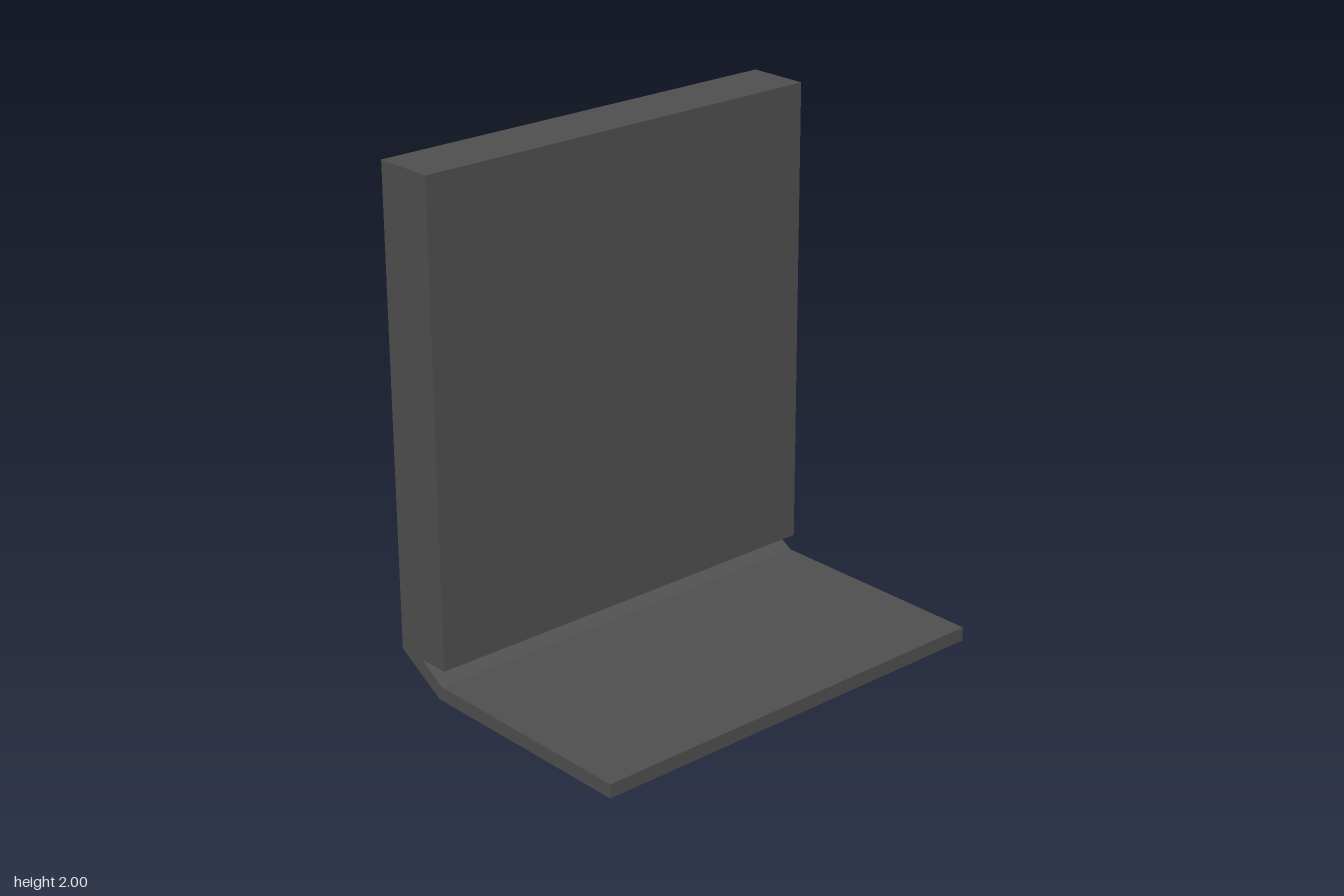
import * as THREE from 'three';

const W = 1.764, TOP = 2, SILL = 0.125;      // overall width, top and bottom of the panel
const BACK = -0.587, FRONT = -0.337;         // panel faces
const RECESS = 0.06, RIM = 0.052, MULLION = 0.11;

const rect = (Type, x0, y0, x1, y1) => new Type([
  new THREE.Vector2(x0, y0), new THREE.Vector2(x1, y0),
  new THREE.Vector2(x1, y1), new THREE.Vector2(x0, y1),
]);

export function createModel() {
  const group = new THREE.Group();
  const darkGrey = new THREE.MeshStandardMaterial({ color: 0x505050 });
  darkGrey.name = 'darkGrey';

  const add = (name, geometry) => {
    const mesh = new THREE.Mesh(geometry, darkGrey);
    mesh.name = name;
    group.add(mesh);
    return mesh;
  };

  // Upright panel, solid up to the floor of the recesses
  const depth = FRONT - BACK - RECESS;
  add('uprightPanel', new THREE.BoxGeometry(W, TOP - SILL, depth))
    .position.set(0, (TOP + SILL) / 2, FRONT - depth / 2);

  // Rear frame with two tall openings
  const frame = rect(THREE.Shape, -W / 2, SILL, W / 2, TOP);
  for (const [x0, x1] of [[-W / 2 + RIM, -MULLION / 2], [MULLION / 2, W / 2 - RIM]]) {
    frame.holes.push(rect(THREE.Path, x0, SILL + RIM, x1, TOP - RIM));
  }
  add('rearFrame', new THREE.ExtrudeGeometry(frame, { depth: RECESS, bevelEnabled: false }))
    .position.z = BACK;

  // Base plate with a slanted rear edge, profile in (z, y)
  const profile = new THREE.Shape([
    [0.587, 0], [0.587, 0.055], [-0.355, 0.055], [-0.47, SILL], [BACK, SILL], [-0.37, 0],
  ].map(([z, y]) => new THREE.Vector2(z, y)));
  const base = new THREE.ExtrudeGeometry(profile, { depth: W, bevelEnabled: false });
  base.translate(0, 0, -W / 2).rotateY(-Math.PI / 2);
  add('basePlate', base);

  return group;
}
